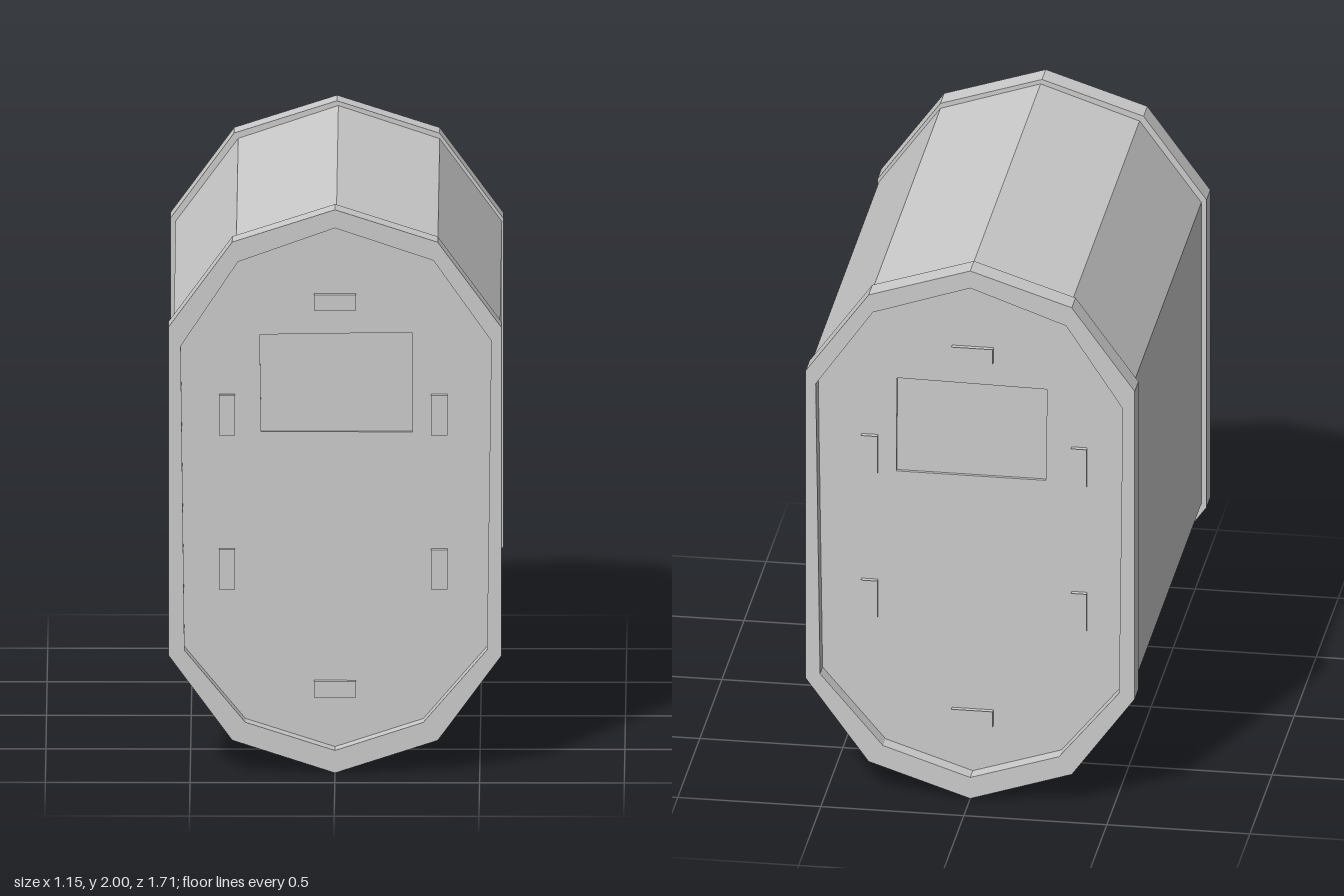
import * as THREE from 'three';

const material = new THREE.MeshStandardMaterial({ color: 0xcccccc, flatShading: true });
const vectors = (points) => points.map(([x, y]) => new THREE.Vector2(x, y));

// Extrudes an outline, with an optional hole, between two z positions.
// The outer outline is turned anticlockwise so that the hole walls face inwards.
function slab(name, outline, z0, z1, hole) {
  const shape = new THREE.Shape(vectors(outline).reverse());
  if (hole) shape.holes.push(new THREE.Path(vectors(hole)));
  const geometry = new THREE.ExtrudeGeometry(shape, { depth: z1 - z0, bevelEnabled: false });
  geometry.translate(0, 0, z0);
  const mesh = new THREE.Mesh(geometry, material);
  mesh.name = name;
  return mesh;
}

// Ten-sided outlines, clockwise from the top
const rimOutline = [
  [0, 2], [0.355, 1.885], [0.575, 1.583], [0.575, 0.417], [0.355, 0.116],
  [0, 0], [-0.355, 0.116], [-0.575, 0.417], [-0.575, 1.583], [-0.355, 1.885],
];
const panelOutline = [
  [0, 1.935], [0.34, 1.82], [0.54, 1.535], [0.525, 0.437], [0.305, 0.18],
  [0, 0.08], [-0.31, 0.18], [-0.52, 0.435], [-0.533, 1.515], [-0.335, 1.815],
];
const bodyOutline = [
  [0.005, 1.983], [0.355, 1.866], [0.57, 1.572], [0.57, 0.431], [0.355, 0.134],
  [0.005, 0.022], [-0.341, 0.134], [-0.557, 0.431], [-0.557, 1.572], [-0.341, 1.866],
];
const windowOutline = [[-0.26, 1.543], [0.265, 1.551], [0.267, 1.198], [-0.255, 1.198]];

// Tabs around each end panel: x, y, width, height
const tabs = [
  [0, 1.661, 0.145, 0.055], [0, 0.287, 0.145, 0.057],
  [0.36, 1.26, 0.058, 0.143], [0.36, 0.713, 0.058, 0.141],
  [-0.373, 1.26, 0.054, 0.143], [-0.373, 0.713, 0.054, 0.141],
];

// A tab is a thin box open on its -z side, at both ends of the model
function tab([x, y, w, h], z) {
  const geometry = new THREE.BoxGeometry(w, h, 0.018);
  geometry.setIndex(Array.from(geometry.index.array).slice(0, 30));
  geometry.clearGroups();
  const mesh = new THREE.Mesh(geometry, material);
  mesh.position.set(x, y, z);
  mesh.name = 'tab';
  return mesh;
}

export function createModel() {
  const model = new THREE.Group();
  model.name = 'capsule';
  model.add(slab('body', bodyOutline, -0.772, 0.772));

  for (const side of [1, -1]) {
    const end = new THREE.Group();
    end.name = side > 0 ? 'frontEnd' : 'backEnd';
    // Places a slab between two distances from the middle
    const part = (name, outline, near, far, hole) =>
      end.add(slab(name, outline, Math.min(side * near, side * far), Math.max(side * near, side * far), hole));
    part('rim', rimOutline, 0.77, 0.855, panelOutline);
    part('panel', panelOutline, 0.775, 0.797, windowOutline);
    part('window', windowOutline, 0.775, 0.785);
    for (const t of tabs) end.add(tab(t, side * 0.806));
    model.add(end);
  }
  return model;
}
